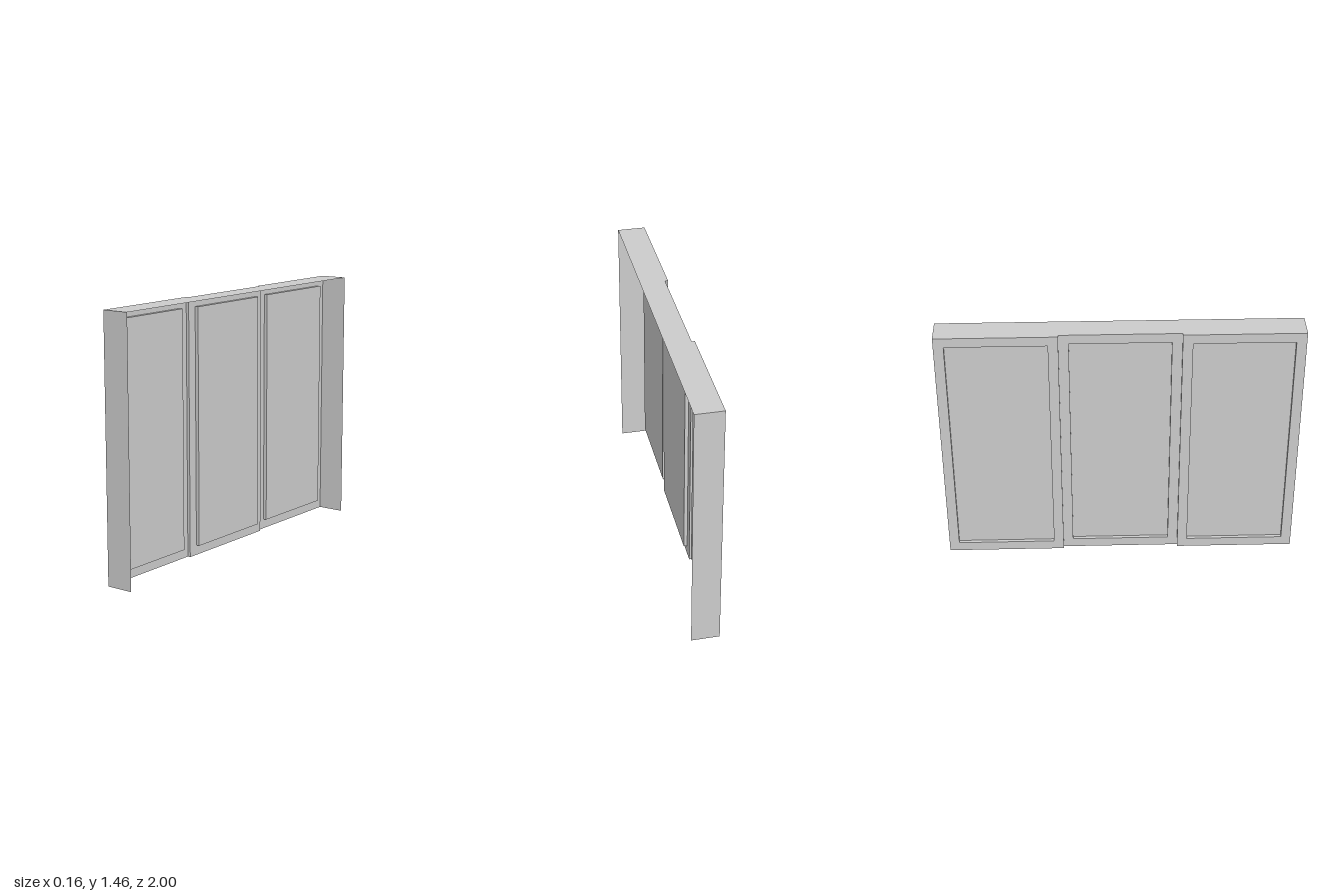
import * as THREE from 'three';

const H = 1.46, X = 0.079, THIRD = 1 / 3;
const STEP = 0.017;   // how far the middle panel sits back
const INSET = 0.056;  // frame width around each recess
const DEPTH = 0.02;   // recess depth

export function createModel() {
  const model = new THREE.Group();
  const grey = new THREE.MeshStandardMaterial({ color: 0xcccccc, side: THREE.DoubleSide });
  grey.name = 'light grey';

  const add = (parent, name, geometry, x = 0, y = 0, z = 0) => {
    const mesh = new THREE.Mesh(geometry, grey);
    mesh.name = name;
    mesh.position.set(x, y, z);
    parent.add(mesh);
  };
  // sheets facing -x, +z and +y
  const sideSheet = (w, h) => new THREE.PlaneGeometry(w, h).rotateY(-Math.PI / 2);
  const endSheet = (w, h) => new THREE.PlaneGeometry(w, h);
  const flatSheet = (w, d) => new THREE.PlaneGeometry(w, d).rotateX(-Math.PI / 2);

  const rect = (Type, w, h) => {
    const r = new Type();
    r.moveTo(-w / 2, -h / 2);
    r.lineTo(w / 2, -h / 2);
    r.lineTo(w / 2, h / 2);
    r.lineTo(-w / 2, h / 2);
    r.closePath();
    return r;
  };

  // three pressed panels, the middle one set back
  const w = 2 * THIRD, iw = w - 2 * INSET, ih = H - 2 * INSET;
  for (const i of [-1, 0, 1]) {
    const panel = new THREE.Group();
    panel.name = ['backPanel', 'middlePanel', 'frontPanel'][i + 1];
    panel.position.set(i === 0 ? -X + STEP : -X, H / 2, i * w);

    const frame = rect(THREE.Shape, w, H);
    frame.holes.push(rect(THREE.Path, iw, ih));
    add(panel, 'panelFrame', new THREE.ShapeGeometry(frame).rotateY(-Math.PI / 2));
    add(panel, 'recessedFace', sideSheet(iw, ih), DEPTH);
    for (const s of [-1, 1]) {
      const wall = endSheet(DEPTH, ih);
      if (s > 0) wall.rotateY(Math.PI);
      add(panel, 'recessSide', wall, DEPTH / 2, 0, s * iw / 2);
      const ledge = flatSheet(DEPTH, iw);
      if (s > 0) ledge.rotateX(Math.PI);
      add(panel, 'recessLedge', ledge, DEPTH / 2, s * ih / 2, 0);
    }
    model.add(panel);
  }

  // narrow steps between panels, and the end walls
  for (const s of [-1, 1]) {
    const step = endSheet(STEP, H);
    if (s > 0) step.rotateY(Math.PI);
    add(model, 'panelStep', step, -X + STEP / 2, H / 2, s * THIRD);
    const end = endSheet(2 * X, H);
    if (s < 0) end.rotateY(Math.PI);
    add(model, s > 0 ? 'frontEndWall' : 'backEndWall', end, 0, H / 2, s);
  }

  // top sheet, notched over the middle panel
  const top = new THREE.Shape();
  [[-X, -1], [X, -1], [X, 1], [-X, 1], [-X, THIRD], [-X + STEP, THIRD], [-X + STEP, -THIRD], [-X, -THIRD]]
    .forEach(([x, y], i) => (i ? top.lineTo(x, y) : top.moveTo(x, y)));
  top.closePath();
  add(model, 'topSheet', new THREE.ShapeGeometry(top).rotateX(-Math.PI / 2), 0, H, 0);

  return model;
}
